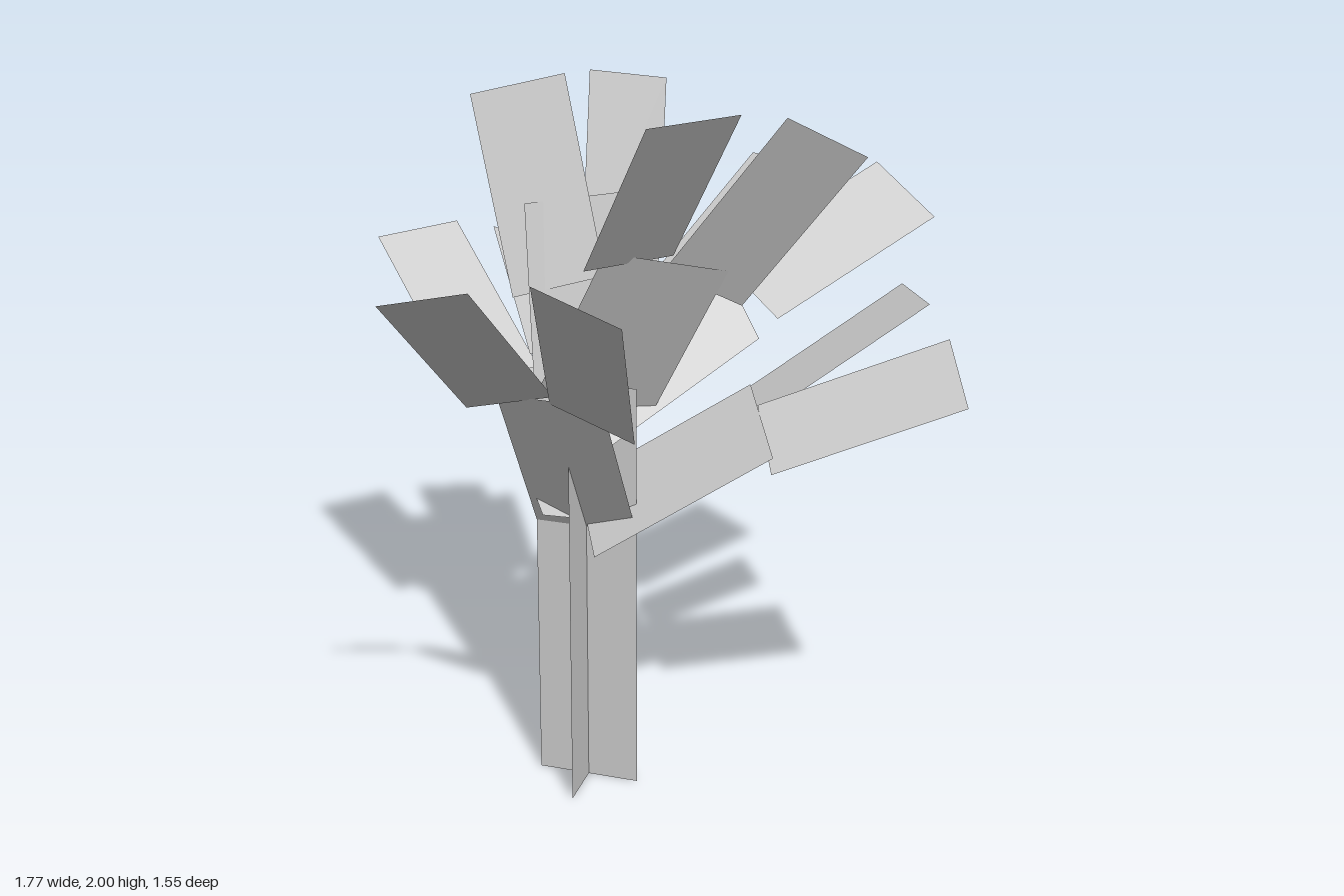
import * as THREE from 'three';

const material = new THREE.MeshStandardMaterial({ color: 0xcccccc, flatShading: true, side: THREE.DoubleSide });

// Flat card from two base corners and the direction in which it grows
function card(name, a, b, grow) {
  const p = new THREE.Vector3(...a), q = new THREE.Vector3(...b), g = new THREE.Vector3(...grow);
  const geometry = new THREE.BufferGeometry().setFromPoints([p, q, q.clone().add(g), p.clone().add(g)]);
  geometry.setIndex([0, 1, 2, 0, 2, 3]);
  geometry.computeVertexNormals();
  const mesh = new THREE.Mesh(geometry, material);
  mesh.name = name;
  return mesh;
}

// Each limb: [base corner, base corner, growth] for one branch and its two leaves
const limbs = {
  frontLimb: [
    [[-0.25, 0.76, 0.14], [0.03, 0.76, 0.14], [0, 0.47, 0.28]],
    [[-0.33, 1.185, 0.42], [-0.1, 1.24, 0.415], [-0.08, 0.385, 0.35]],
    [[-0.11, 1.22, 0.415], [0.12, 1.15, 0.44], [0.07, 0.425, 0.315]],
  ],
  leftLimb: [
    [[-0.18, 0.82, 0], [-0.05, 0.73, 0.255], [0.45, 0.3, -0.1]],
    [[0.21, 1.045, -0.2], [0.32, 1.06, -0.02], [0.395, 0.29, -0.205]],
    [[0.31, 1.095, -0.025], [0.4, 0.99, 0.17], [0.48, 0.205, -0.095]],
  ],
  backRightLimb: [
    [[-0.2, 0.82, 0.23], [-0.03, 0.73, 0.03], [-0.3, 0.275, -0.365]],
    [[-0.39, 1.09, -0.21], [-0.23, 0.99, -0.36], [-0.26, 0.21, -0.42]],
    [[-0.54, 1.04, -0.045], [-0.37, 1.05, -0.22], [-0.35, 0.295, -0.3]],
  ],
  backLimb: [
    [[-0.19, 1.2, 0.06], [-0.03, 1.02, 0.2], [0.3, 0.2, -0.38]],
    [[-0.055, 1.33, -0.145], [0.16, 1.345, -0.03], [0.2, 0.285, -0.412]],
    [[0.15, 1.41, -0.23], [0.335, 1.305, -0.12], [0.335, 0.2, -0.36]],
  ],
  frontLeftLimb: [
    [[-0.22, 1.15, 0.215], [0.05, 1.08, 0.06], [0.23, 0.45, 0.115]],
    [[-0.03, 1.565, 0.38], [0.145, 1.565, 0.2], [0.225, 0.435, 0.21]],
    [[0.13, 1.535, 0.235], [0.3, 1.42, 0.115], [0.322, 0.435, 0.065]],
  ],
  topLimb: [
    [[-0.22, 1.09, 0.215], [-0.01, 1.085, 0.025], [-0.05, 0.55, -0.08]],
    [[-0.29, 1.4, 0.18], [-0.08, 1.44, 0.06], [-0.118, 0.515, -0.042]],
    [[-0.135, 1.44, 0.09], [0.016, 1.385, -0.09], [-0.036, 0.497, -0.19]],
  ],
};

export function createModel() {
  const model = new THREE.Group();
  model.name = 'plant';

  // Trunk: two crossed upright cards
  const trunk = new THREE.Group();
  trunk.name = 'trunk';
  trunk.add(
    card('trunkWide', [-0.25, 0, 0.14], [0.03, 0, 0.14], [0, 1.17, 0]),
    card('trunkDeep', [-0.11, 0, 0.28], [-0.11, 0, 0], [0, 1.17, 0]),
  );
  model.add(trunk);

  // Limbs: a branch card that splits into two leaves
  for (const [name, cards] of Object.entries(limbs)) {
    const limb = new THREE.Group();
    limb.name = name;
    cards.forEach((c, i) => limb.add(card(['branch', 'leafA', 'leafB'][i], ...c)));
    model.add(limb);
  }
  return model;
}
